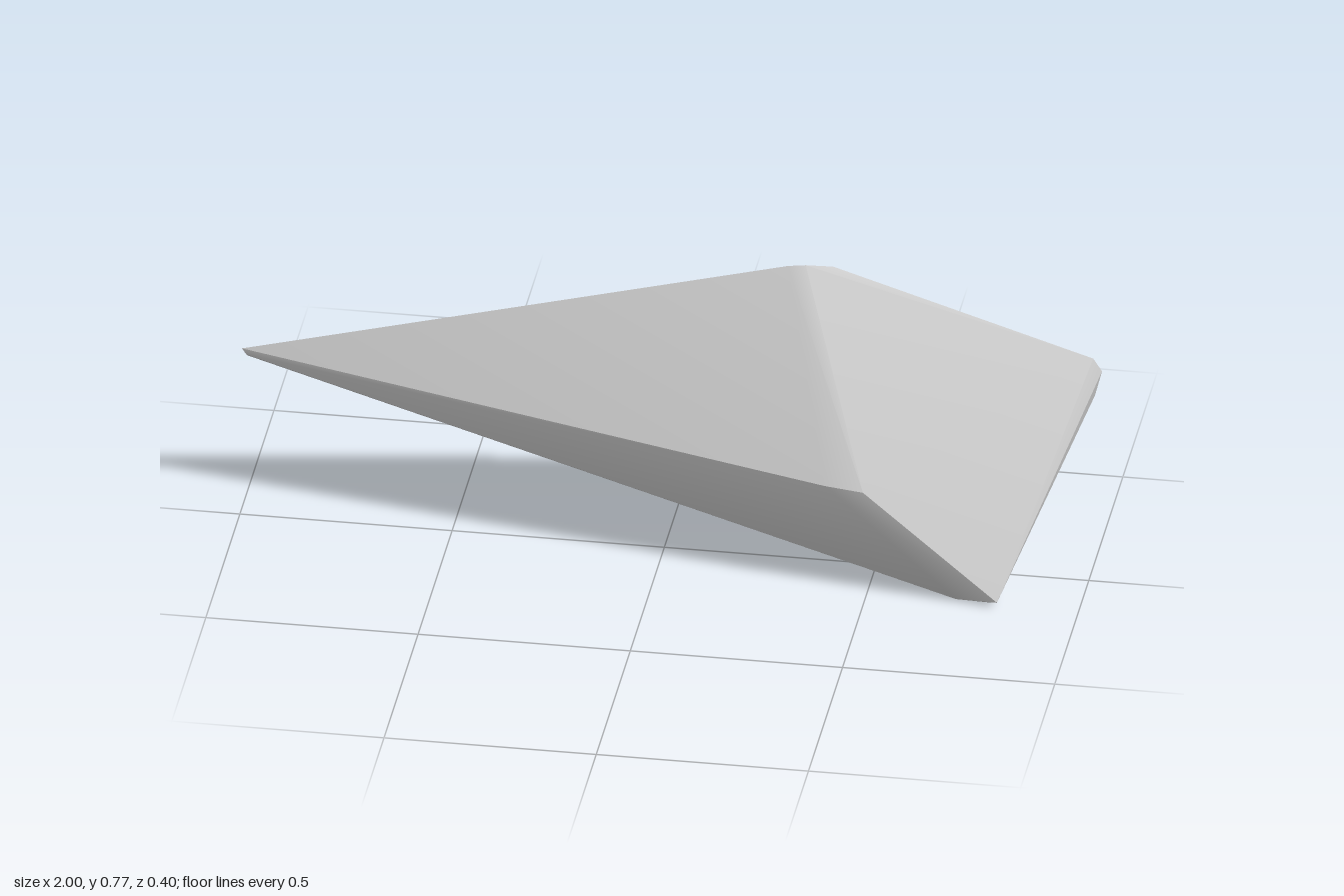
import * as THREE from 'three';
import { ConvexGeometry } from 'three/addons/geometries/ConvexGeometry.js';
import { toCreasedNormals } from 'three/addons/utils/BufferGeometryUtils.js';

// Corners of the shard, each blunted into a small cluster of points
const corners = {
  crest: [[0.29, 0.77, -0.01], [0.33, 0.77, -0.02], [0.39, 0.755, -0.05]],
  tip: [[-1, 0.425, -0.03], [-0.99, 0.41, -0.03], [-0.99, 0.39, -0.06]],
  frontRidge: [[0.41, 0.31, 0.2], [0.5, 0.3, 0.2]],
  foot: [[0.81, 0.015, 0.165], [0.79, 0, 0.14], [0.71, 0.005, 0.145]],
  sideEnd: [[1, 0.45, -0.195], [0.98, 0.485, -0.19], [0.985, 0.39, -0.185]],
  lowerBack: [[-0.56, 0.225, -0.125], [-0.5, 0.21, -0.125], [-0.6, 0.25, -0.125]],
  backRidge: [[0.42, 0.67, -0.12], [0.46, 0.56, -0.195], [0.49, 0.53, -0.203], [0.28, 0.44, -0.203]],
};

export function createModel() {
  const group = new THREE.Group();
  group.name = 'stoneShard';

  const points = Object.values(corners).flat().map((p) => new THREE.Vector3(...p));
  const geometry = toCreasedNormals(new ConvexGeometry(points), 0.4);
  const shard = new THREE.Mesh(geometry, new THREE.MeshStandardMaterial({ color: 0xcccccc }));
  shard.name = 'shard';
  group.add(shard);
  return group;
}
